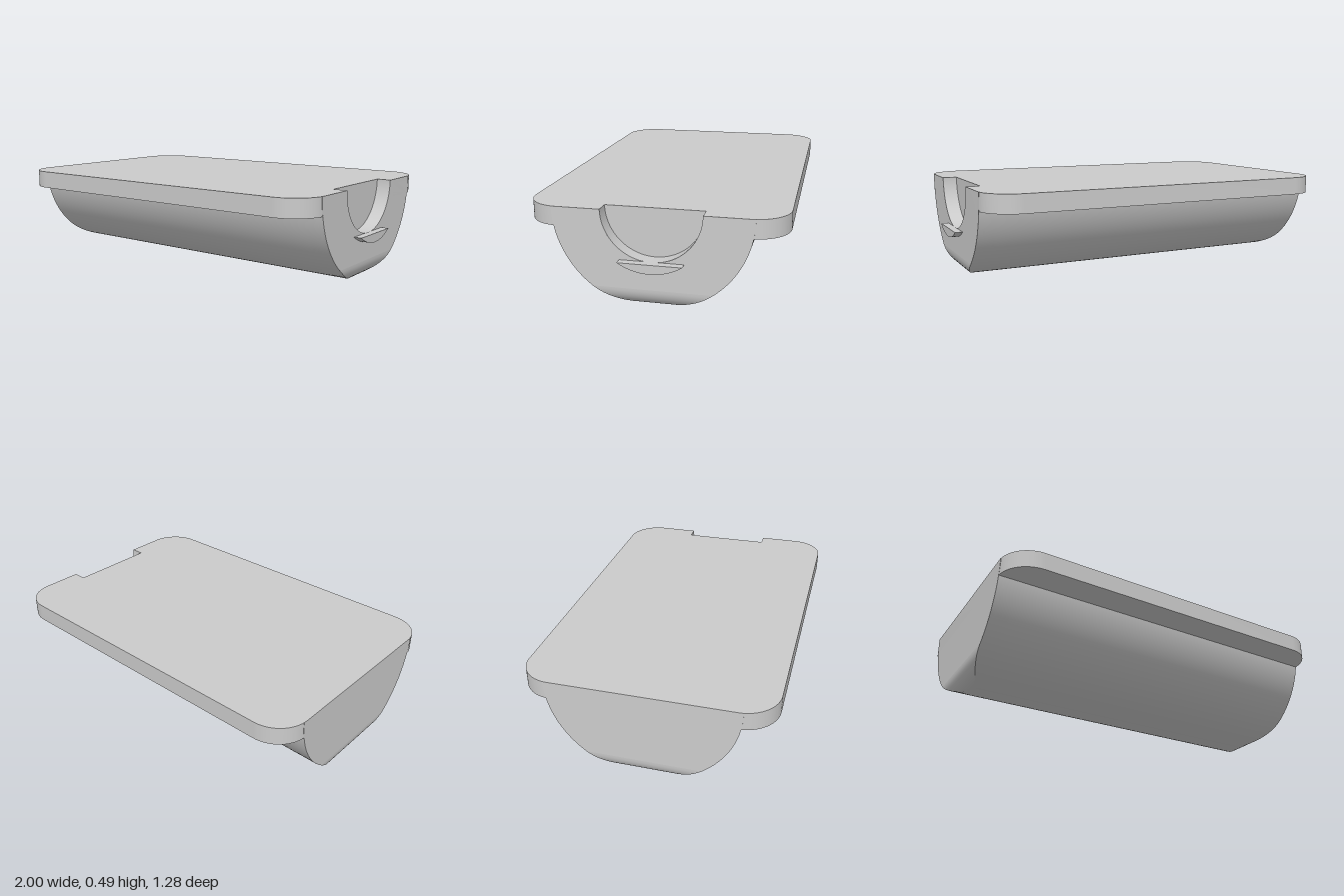
import * as THREE from 'three';
import { toCreasedNormals } from 'three/addons/utils/BufferGeometryUtils.js';

const X0 = -1, X1 = 0.96;      // ends of the housing
const R = 0.49;                // trough radius, axis at y = R
const FILLET = 0.1;            // rounding of the lower end edges
const RECESS_R = 0.247, RECESS_X = 0.885;
const PLATE_Z = 0.64, PLATE_H = 0.095, CORNER = 0.175;

const material = new THREE.MeshStandardMaterial({ color: 0xcccccc });
const twoSided = new THREE.MeshStandardMaterial({ color: 0xcccccc, side: THREE.DoubleSide });

function part(name, geometry, mat = material) {
  const mesh = new THREE.Mesh(geometry, mat);
  mesh.name = name;
  return mesh;
}

// Half-round section, cut flat at height yMin, running from +z to -z
function section(yMin) {
  const a = Math.asin((R - yMin) / R), n = 32, flat = 4, pts = [];
  const arc = (t) => [R * Math.cos(t), R - R * Math.sin(t)];
  for (let i = 0; i <= n; i++) pts.push(arc((a * i) / n));
  const w = R * Math.cos(a);
  for (let i = 1; i < flat; i++) pts.push([w * (1 - (2 * i) / flat), yMin]);
  for (let i = n; i >= 0; i--) { const [z, y] = arc((a * i) / n); pts.push([-z, y]); }
  return pts;
}

// Trough skin: sections lofted along x, flattened towards both rounded ends
function troughSkin() {
  const stations = [], steps = 12;
  for (let i = 0; i <= steps; i++) {
    const t = (Math.PI / 2) * (i / steps);
    stations.push([FILLET * (1 - Math.cos(t)), FILLET * (1 - Math.sin(t))]);
  }
  const all = [
    ...stations.map(([d, y]) => [X0 + d, y]),
    ...stations.slice().reverse().map(([d, y]) => [X1 - d, y]),
  ];
  const positions = [], index = [];
  let m = 0;
  all.forEach(([x, yMin], u) => {
    const pts = section(Math.max(yMin, 0));
    m = pts.length;
    pts.forEach(([z, y]) => positions.push(x, y, z));
    if (u === 0) return;
    for (let v = 0; v < m - 1; v++) {
      const a = (u - 1) * m + v, b = u * m + v;
      index.push(a, a + 1, b, b, a + 1, b + 1);
    }
  });
  const g = new THREE.BufferGeometry();
  g.setAttribute('position', new THREE.Float32BufferAttribute(positions, 3));
  g.setIndex(index);
  return toCreasedNormals(g, 0.45);
}

// Flat end of the trough, optionally notched by the recess
function endCap(notched) {
  const shape = new THREE.Shape(section(FILLET).map(([z, y]) => new THREE.Vector2(z, y)));
  if (notched) {
    shape.lineTo(-RECESS_R, R);
    shape.absarc(0, R, RECESS_R, Math.PI, 2 * Math.PI, false);
  }
  return new THREE.ShapeGeometry(shape, 48);
}

// Rounded cover plate with a notch in its +x edge
function coverPlate() {
  const s = new THREE.Shape(), c = CORNER, w = PLATE_Z;
  s.moveTo(X0 + c, -w);
  s.absarc(X1 - c, -w + c, c, -Math.PI / 2, 0, false);
  s.lineTo(X1, -RECESS_R);
  s.lineTo(RECESS_X, -RECESS_R);
  s.lineTo(RECESS_X, RECESS_R);
  s.lineTo(X1, RECESS_R);
  s.absarc(X1 - c, w - c, c, 0, Math.PI / 2, false);
  s.absarc(X0 + c, w - c, c, Math.PI / 2, Math.PI, false);
  s.absarc(X0 + c, -w + c, c, Math.PI, 1.5 * Math.PI, false);
  const g = new THREE.ExtrudeGeometry(s, { depth: PLATE_H, bevelEnabled: false, curveSegments: 16 });
  g.rotateX(-Math.PI / 2).translate(0, R - PLATE_H, 0);
  return toCreasedNormals(g, 0.5);
}

// Circular-segment lip below the recess
function lipGeometry() {
  const r = 0.292, half = Math.acos(0.245 / r);
  const s = new THREE.Shape();
  s.absarc(0, R, r, -Math.PI / 2 - half, -Math.PI / 2 + half, false);
  s.closePath();
  const g = new THREE.ExtrudeGeometry(s, { depth: 1 - X1, bevelEnabled: false, curveSegments: 24 });
  g.rotateY(Math.PI / 2).translate(X1, 0, 0);
  return toCreasedNormals(g, 0.4);
}

export function createModel() {
  const model = new THREE.Group();
  model.name = 'halfRoundHousing';

  // Trough body
  const body = new THREE.Group();
  body.name = 'trough';
  body.add(part('troughSkin', troughSkin()));
  body.add(part('plainEnd', endCap(false).rotateY(-Math.PI / 2).translate(X0, 0, 0)));
  body.add(part('notchedEnd', endCap(true).rotateY(Math.PI / 2).translate(X1, 0, 0)));

  // Shallow half-round recess in the +x end
  const depth = X1 - RECESS_X;
  const wall = new THREE.CylinderGeometry(RECESS_R, RECESS_R, depth, 48, 1, true, Math.PI, Math.PI);
  wall.rotateZ(Math.PI / 2).translate(RECESS_X + depth / 2, R, 0);
  body.add(part('recessWall', wall, twoSided));
  const back = new THREE.CircleGeometry(RECESS_R, 48, Math.PI, Math.PI);
  back.rotateY(Math.PI / 2).translate(RECESS_X, R, 0);
  body.add(part('recessBack', back));

  model.add(body, part('coverPlate', coverPlate()), part('lip', lipGeometry()));
  return model;
}
